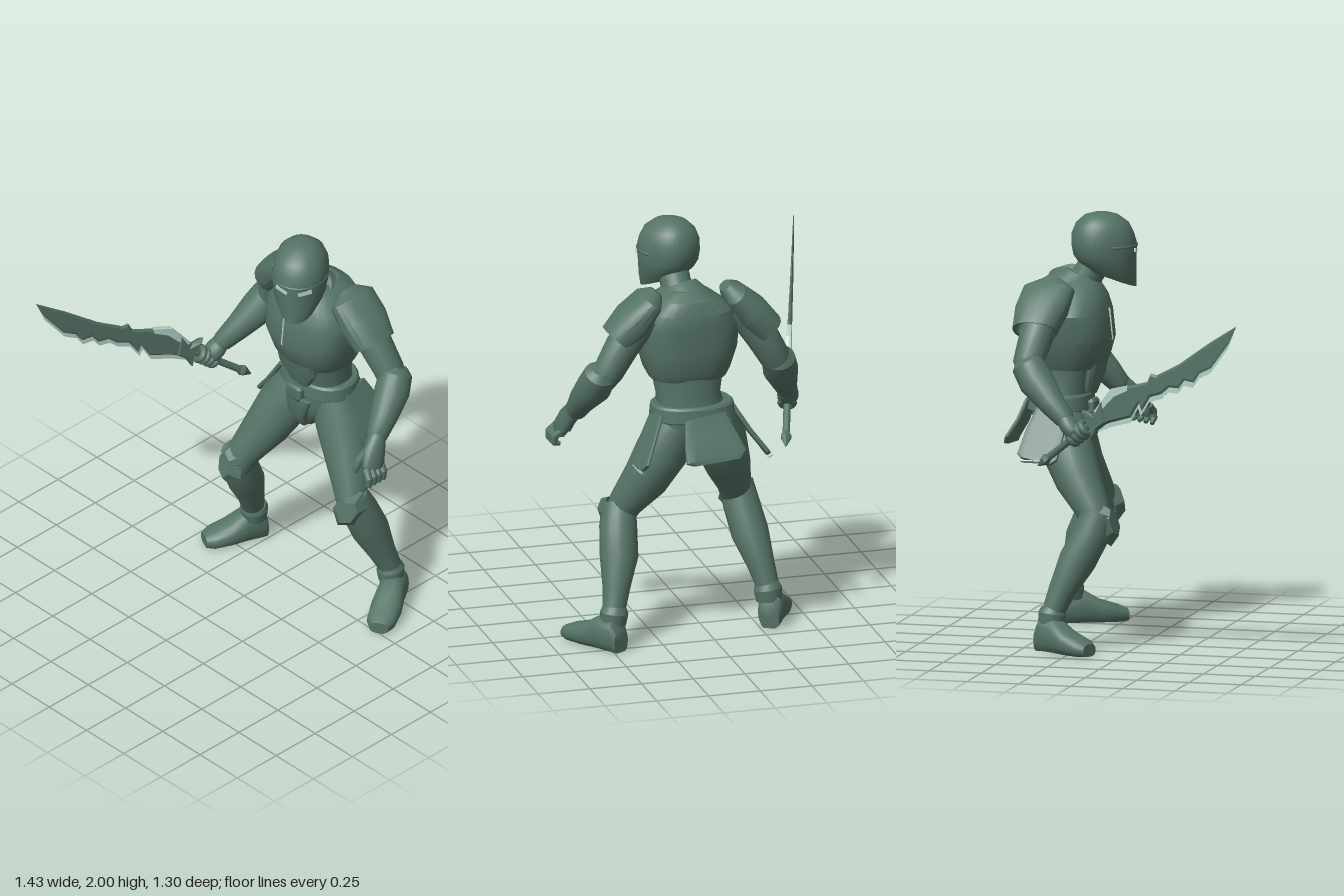
import * as THREE from 'three';
import { toCreasedNormals } from 'three/addons/utils/BufferGeometryUtils.js';

const armour = new THREE.MeshStandardMaterial({ color: 0x557366 });
armour.name = 'armour green';
const pale = new THREE.MeshStandardMaterial({ color: 0xb4d2c7 });
pale.name = 'pale edge';

const X = new THREE.Vector3(1, 0, 0), Y = new THREE.Vector3(0, 1, 0), Z = new THREE.Vector3(0, 0, 1);

// Closed skin over rings [x, y, z, radius along side, other radius]
function loft(rows, { side = X, axis = null, n = 20, pow = 2, crease = 0.7, warp = null } = {}) {
  const pos = [], index = [], P = rows.map(r => new THREE.Vector3(r[0], r[1], r[2]));
  const last = rows.length - 1;
  const bend = v => (v >= 0 ? 1 : -1) * Math.abs(v) ** (2 / pow);
  rows.forEach((r, i) => {
    const t = axis ? axis.clone() : P[Math.min(i + 1, last)].clone().sub(P[Math.max(i - 1, 0)]).normalize();
    const a = side.clone().addScaledVector(t, -side.dot(t)).normalize();
    const b = new THREE.Vector3().crossVectors(t, a);
    for (let j = 0; j < n; j++) {
      const q = j / n * Math.PI * 2;
      const p = P[i].clone().addScaledVector(a, bend(Math.cos(q)) * r[3])
        .addScaledVector(b, bend(Math.sin(q)) * (r[4] ?? r[3]));
      if (warp) warp(p);
      pos.push(p.x, p.y, p.z);
    }
  });
  for (const i of [0, last]) {
    const c = P[i].clone();
    if (warp) warp(c);
    pos.push(c.x, c.y, c.z);
  }
  const c0 = rows.length * n;
  for (let j = 0; j < n; j++) {
    const k = (j + 1) % n;
    for (let i = 0; i < last; i++) {
      const a = i * n + j, b = i * n + k;
      index.push(a, b, b + n, a, b + n, a + n);
    }
    index.push(c0, k, j, c0 + 1, last * n + j, last * n + k);
  }
  const g = new THREE.BufferGeometry();
  g.setAttribute('position', new THREE.Float32BufferAttribute(pos, 3));
  g.setIndex(index);
  return toCreasedNormals(g, crease);
}

function add(parent, name, geo, mat = armour) {
  const m = new THREE.Mesh(geo, mat);
  m.name = name;
  parent.add(m);
  return m;
}

// Bevelled plate cut from a side outline of [z, y] points, thinning toward the tip
function bladePlate(points, half, bevel) {
  const shape = new THREE.Shape(points.map(([z, y]) => new THREE.Vector2((z + 0.18) / 0.95, y)));
  const g = new THREE.ExtrudeGeometry(shape, {
    depth: 0.005, bevelEnabled: bevel > 0, bevelThickness: half, bevelSize: bevel, bevelOffset: -bevel, bevelSegments: 1
  });
  g.translate(0, 0, -0.0025);
  const p = g.attributes.position;
  for (let i = 0; i < p.count; i++) p.setZ(i, p.getZ(i) * (1 - 0.85 * THREE.MathUtils.clamp(p.getX(i) / 0.88, 0, 1)));
  g.computeVertexNormals();
  return g;
}

function torso(g) {
  const flat = { axis: Y, n: 28, pow: 2.3 };
  add(g, 'pelvis', loft([[.06, .87, -.37, .04, .05], [.06, .93, -.39, .11, .1], [.07, 1, -.4, .165, .13],
    [.08, 1.1, -.41, .18, .135], [.085, 1.14, -.41, .16, .12]], flat));
  add(g, 'abdomen', loft([[.085, 1.1, -.41, .165, .125], [.1, 1.2, -.395, .15, .125], [.1, 1.34, -.375, .175, .145]], flat));
  add(g, 'belt', loft([[.08, 1.085, -.41, .2, .146], [.08, 1.09, -.41, .205, .15], [.085, 1.15, -.41, .195, .143],
    [.085, 1.16, -.41, .185, .135]], { ...flat, crease: .5 }));
  add(g, 'buckle', loft([[.075, 1.05, -.265, .025, .02], [.075, 1.075, -.262, .05, .026], [.075, 1.12, -.262, .05, .026], [.075, 1.13, -.265, .04, .02]], { pow: 5, n: 16, crease: .4 }));
  add(g, 'groinPlate', loft([[.075, 1.06, -.275, .08, .022], [.068, .96, -.285, .055, .03], [.06, .885, -.33, .03, .03]], { pow: 3 }));
  // Breastplate with a shallow centre ridge
  add(g, 'breastplate', loft([[.1, 1.28, -.375, .18, .14], [.1, 1.32, -.37, .2, .165], [.095, 1.42, -.36, .232, .182],
    [.095, 1.54, -.37, .238, .178], [.1, 1.61, -.38, .205, .168], [.11, 1.67, -.385, .135, .138], [.115, 1.705, -.38, .07, .09]],
    { axis: Y, n: 28, pow: 2.7, crease: .45, warp: p => { if (p.z > -.36) p.z += .014 * Math.max(0, 1 - Math.abs(p.x - .08) / .18); } }));
  const seam = add(g, 'chestSeam', new THREE.BoxGeometry(.006, .15, .009), pale);
  seam.position.set(.08, 1.485, -.173);
  seam.rotation.x = -.1;
  add(g, 'abdomenPlate', loft([[.1, 1.33, -.235, .12, .03], [.1, 1.25, -.25, .115, .03], [.09, 1.16, -.275, .06, .025]],
    { n: 12, pow: 3, crease: .4 }));
  add(g, 'gorget', loft([[.11, 1.63, -.37, .14, .12], [.12, 1.68, -.34, .1, .095], [.125, 1.7, -.33, .085, .08]], { crease: .4 }));
  add(g, 'neck', loft([[.12, 1.6, -.36, .08], [.13, 1.7, -.3, .072], [.142, 1.8, -.24, .075]]));
  // Hanging skirt plates with a pale hem on the side ones
  const plate = { pow: 5, n: 16, crease: .5 };
  add(g, 'backSkirtPlate', loft([[.06, 1.12, -.55, .1, .012], [.045, 1.02, -.588, .13, .012], [.03, .945, -.632, .15, .012],
    [.028, .92, -.638, .115, .012]], plate));
  const zed = { ...plate, side: Z };
  add(g, 'leftSkirtPlate', loft([[.265, 1.12, -.45, .07, .012], [.32, 1, -.48, .095, .012], [.365, .9, -.51, .105, .012],
    [.375, .88, -.515, .07, .012]], zed));
  add(g, 'leftSkirtHem', loft([[.3745, .881, -.515, .068, .0125], [.377, .877, -.515, .066, .0125]], zed), pale);
  add(g, 'rightSkirtPlate', loft([[-.105, 1.12, -.4, .07, .012], [-.18, 1, -.42, .095, .012], [-.255, .9, -.435, .1, .012],
    [-.268, .88, -.44, .075, .012]], zed));
  add(g, 'rightSkirtHem', loft([[-.2675, .881, -.44, .073, .0125], [-.27, .877, -.44, .071, .0125]], zed), pale);
}

function head(g) {
  const h = new THREE.Group();
  h.name = 'head';
  h.position.set(.145, 1.66, -.222);
  h.rotation.y = .56;
  g.add(h);
  // Helmet: rim rises to the rear, face has a central keel
  const warp = p => {
    p.y += Math.max(0, .14 - p.y) / .14 * (.1 - p.z) * .38;
    if (p.z > 0) p.z += .016 * Math.max(0, 1 - Math.abs(p.x) / .07) * Math.max(0, 1 - p.y / .25);
  };
  add(h, 'helmet', loft([[0, 0, .03, .085, .108], [0, .06, .01, .115, .132], [0, .14, 0, .127, .144], [0, .19, -.002, .13, .152],
    [0, .24, -.008, .126, .145], [0, .29, -.01, .106, .123], [0, .325, -.014, .07, .08], [0, .338, -.015, .03, .035]],
    { axis: Y, n: 32, pow: 2.2, warp }));
  const brow = add(h, 'browRidge', new THREE.TorusGeometry(.127, .008, 8, 32, Math.PI));
  brow.rotation.x = Math.PI / 2;
  brow.scale.set(1, 1.17, 1);
  brow.position.y = .185;
  for (const s of [-1, 1]) {
    const eye = add(h, s > 0 ? 'leftEye' : 'rightEye', new THREE.BoxGeometry(.066, .02, .009), pale);
    eye.position.set(s * .055, .16, .134);
    eye.rotation.set(0, s * .4, s * .2);
  }
}

function arms(g) {
  // Hollow shoulder plates, mirrored about the chest centre line
  for (const s of [-1, 1]) {
    const name = s > 0 ? 'left' : 'right', dz = s > 0 ? .015 : -.02;
    const at = (x, y, z, a, b) => [.09 + s * (x - .09), y, z + dz * (x - .26) / .19, a, b];
    add(g, name + 'Pauldron', loft([at(.255, 1.705, -.41, .045, .03), at(.292, 1.668, -.413, .122, .058), at(.37, 1.58, -.42, .125, .083),
      at(.447, 1.492, -.425, .105, .078), at(.444, 1.496, -.425, .092, .065), at(.37, 1.58, -.42, .1, .06)],
      { side: Z, axis: new THREE.Vector3(.65 * s, -.75, 0).normalize(), n: 20, pow: 2.3, crease: .4 }));
  }
  add(g, 'leftUpperArm', loft([[.32, 1.6, -.425, .08], [.43, 1.46, -.435, .08], [.5, 1.35, -.45, .072], [.545, 1.28, -.44, .06]]));
  add(g, 'rightUpperArm', loft([[-.14, 1.6, -.425, .08], [-.24, 1.46, -.445, .08], [-.3, 1.35, -.465, .072], [-.33, 1.28, -.44, .06]]));
  add(g, 'leftVambrace', loft([[.54, 1.375, -.475, .045], [.54, 1.345, -.46, .076], [.558, 1.27, -.415, .083], [.59, 1.18, -.33, .064],
    [.605, 1.11, -.27, .05], [.608, 1.1, -.262, .04]], { crease: .55 }));
  add(g, 'rightVambrace', loft([[-.32, 1.375, -.48, .045], [-.32, 1.345, -.465, .076], [-.342, 1.27, -.415, .083], [-.385, 1.18, -.33, .062],
    [-.418, 1.115, -.26, .048], [-.425, 1.1, -.25, .04]], { crease: .55 }));
  // Open left hand
  const hand = new THREE.Group();
  hand.name = 'leftHand';
  g.add(hand);
  add(hand, 'palm', loft([[.61, 1.12, -.27, .042, .042], [.635, 1.06, -.225, .058, .042], [.662, 1, -.195, .06, .032], [.668, .985, -.19, .045, .02]], { side: Z }));
  for (let i = 0; i < 4; i++) {
    const z = -.15 - .03 * i;
    add(hand, 'finger', loft([[.66, 1.01, z, .018], [.695, .975, z + .012, .019], [.694, .945, z + .014, .017], [.668, .922 + .006 * i, z + .012, .01]], { n: 10, side: Z }));
  }
  add(hand, 'thumb', loft([[.62, 1.08, -.2, .02], [.605, 1.03, -.165, .022], [.598, .99, -.145, .018], [.6, .965, -.14, .009]], { n: 10, side: Z }));
}

function sword(g) {
  const w = new THREE.Group();
  w.name = 'swordAndRightHand';
  w.position.set(-.445, 0, -.18);
  w.rotation.y = -1.889;
  g.add(w);
  // Broad blade: dark body, pale jagged cutting edge and pale heel of the spine
  const spine = [[.65, 1.635], [.51, 1.545], [.35, 1.43], [.23, 1.365], [.2, 1.37], [.18, 1.33], [.08, 1.3], [-.01, 1.275], [-.07, 1.2], [-.13, 1.13]];
  const edge = [[-.1, 1.06], [-.02, 1.095], [.09, 1.13], [.13, 1.2], [.145, 1.165], [.19, 1.235], [.25, 1.255],
    [.29, 1.29], [.34, 1.29], [.37, 1.33], [.42, 1.325], [.45, 1.37], [.51, 1.4], [.605, 1.525]];
  const inset = edge.map(([z, y]) => [z + .006, y + .025]);
  add(w, 'bladeBody', bladePlate([...spine, ...inset], .012, .011));
  add(w, 'cuttingEdge', bladePlate([...edge, [.65, 1.635], ...inset.slice().reverse()], 0, 0), pale);
  const heel = [[.08, 1.304], [-.01, 1.279], [-.07, 1.204], [-.1, 1.165]];
  add(w, 'spineHeel', bladePlate([...heel, [-.08, 1.155], [-.042, 1.188], [.01, 1.243], [.08, 1.277]], .0125, .002), pale);
  add(w, 'guard', bladePlate([[-.055, 1.225], [-.1, 1.15], [-.165, 1.165], [-.14, 1.11], [-.12, 1.07], [-.11, 1.02], [-.075, 1.08], [-.03, 1.115]], .02, .012));
  const grip = new THREE.Group();
  grip.name = 'gripAndFist';
  grip.position.y = 1.055;
  grip.rotation.z = .65;
  w.add(grip);
  add(grip, 'grip', new THREE.CylinderGeometry(.017, .017, .3, 12).rotateZ(Math.PI / 2)).position.x = -.08;
  add(grip, 'pommel', loft([[-.29, 0, 0, .003], [-.235, 0, 0, .028], [-.2, 0, 0, .012]], { n: 6, side: Y, crease: .2 }));
  // Closed fist
  for (let i = 0; i < 4; i++) {
    const f = add(grip, 'finger', new THREE.TorusGeometry(.03, .0165, 8, 16));
    f.rotation.y = Math.PI / 2;
    f.position.x = -.045 + .029 * i;
  }
  add(g, 'rightPalm', loft([[-.42, 1.12, -.265, .038], [-.43, 1.085, -.235, .05, .042], [-.44, 1.055, -.205, .05, .042], [-.445, 1.03, -.19, .03]]));
}

function foot(g, name, heel, toe) {
  const rows = [[0, .05, .045, .06], [.08, .075, .058, .085], [.35, .075, .064, .085], [.6, .05, .074, .058], [.88, .035, .068, .042], [1, .028, .045, .03]];
  add(g, name, loft(rows.map(([k, y, a, b]) => [heel[0] + (toe[0] - heel[0]) * k, y, heel[1] + (toe[1] - heel[1]) * k, a, b]), {
    axis: new THREE.Vector3(toe[0] - heel[0], 0, toe[1] - heel[1]).normalize(), pow: 2.4, warp: p => { p.y = Math.max(p.y, 0); }
  }));
}

function legs(g) {
  add(g, 'rightThigh', loft([[-.01, 1.05, -.39, .11], [-.075, .92, -.34, .125], [-.13, .78, -.27, .108], [-.185, .65, -.185, .08], [-.21, .56, -.15, .07]]));
  add(g, 'leftThigh', loft([[.17, 1.05, -.41, .11], [.23, .92, -.41, .125], [.3, .78, -.375, .108], [.38, .65, -.32, .08], [.42, .56, -.3, .07]]));
  add(g, 'rightGreave', loft([[-.205, .645, -.155, .078], [-.22, .55, -.18, .086], [-.245, .42, -.245, .088], [-.28, .28, -.31, .064], [-.305, .17, -.35, .052]]));
  add(g, 'leftGreave', loft([[.405, .645, -.3, .078], [.42, .55, -.34, .088], [.432, .42, -.395, .09], [.46, .28, -.445, .064], [.485, .17, -.485, .052]]));
  add(g, 'rightAnkleCuff', loft([[-.295, .2, -.345, .056], [-.3, .175, -.35, .066], [-.305, .12, -.355, .06]], { crease: .4 }));
  add(g, 'leftAnkleCuff', loft([[.475, .2, -.475, .056], [.48, .175, -.48, .066], [.485, .12, -.48, .06]], { crease: .4 }));
  // Six-sided knee plates
  for (const [name, p, d] of [['right', [-.21, .595, -.1], [-.2, .22, .95]], ['left', [.44, .6, -.25], [.5, .2, .84]]]) {
    const knee = add(g, name + 'KneePlate', toCreasedNormals(new THREE.CylinderGeometry(.055, .092, .055, 6), .3));
    knee.position.set(...p);
    knee.quaternion.setFromUnitVectors(Y, new THREE.Vector3(...d).normalize());
    knee.scale.set(.82, 1, 1.2);
  }
  foot(g, 'rightFoot', [-.29, -.415], [-.415, -.14]);
  foot(g, 'leftFoot', [.465, -.545], [.64, -.25]);
}

export function createModel() {
  const g = new THREE.Group();
  g.name = 'armouredWarrior';
  torso(g);
  head(g);
  arms(g);
  sword(g);
  legs(g);
  return g;
}
